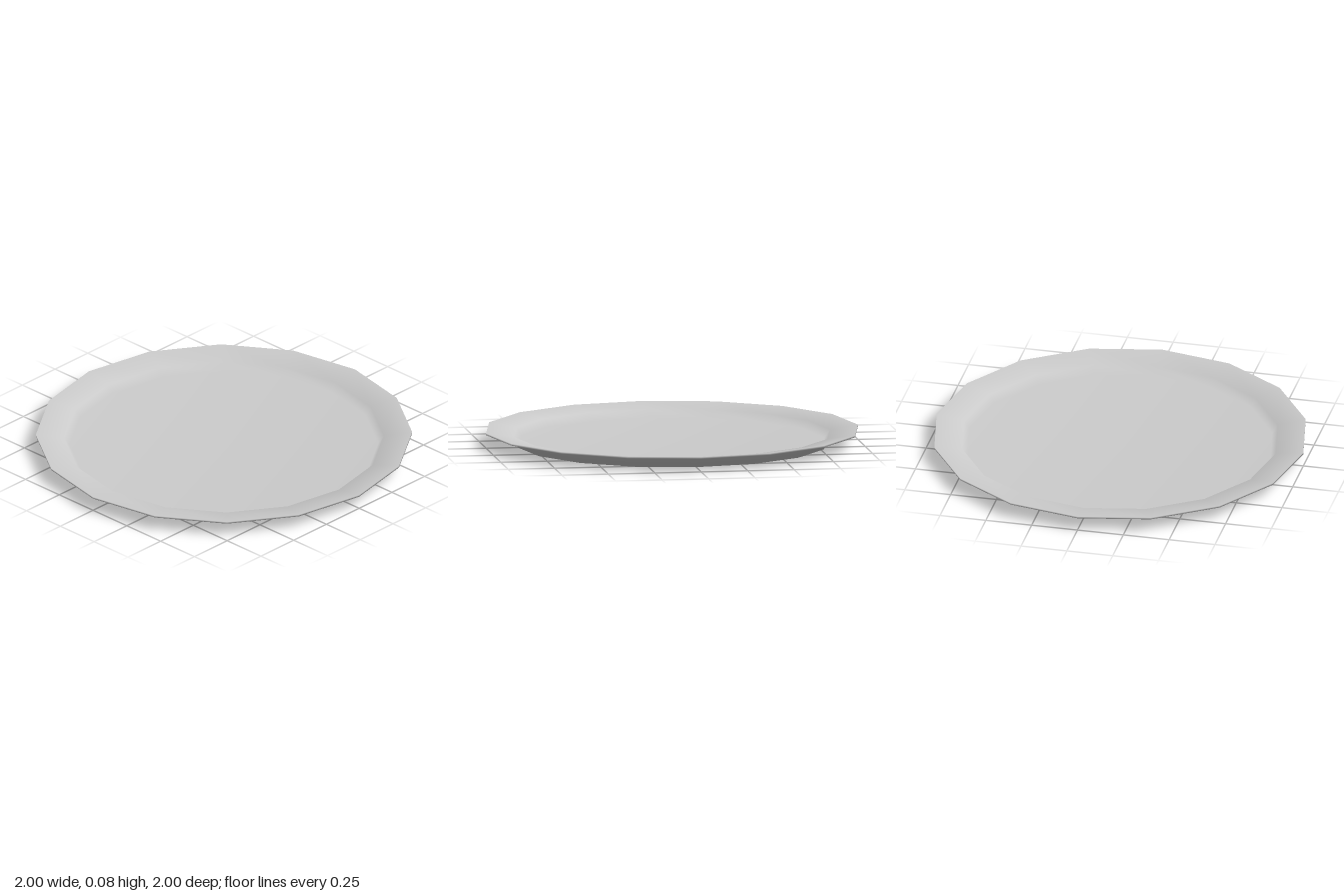
import * as THREE from 'three';

export function createModel() {
  const group = new THREE.Group();
  group.name = 'plate';

  // Closed profile: underside centre, foot, flange, rim edge, then back over the dished top
  const profile = [
    [0, 0],
    [0.83, 0],
    [0.85, 0.045],
    [1, 0.07],
    [1, 0.08],
    [0.85, 0.057],
    [0.82, 0.014],
    [0, 0.014],
  ].map(([r, y]) => new THREE.Vector2(r, y));

  // Sixteen-sided dish with smooth shading
  const dish = new THREE.Mesh(
    new THREE.LatheGeometry(profile, 16),
    new THREE.MeshStandardMaterial({ color: 0xcccccc })
  );
  dish.name = 'dish';
  group.add(dish);

  return group;
}
